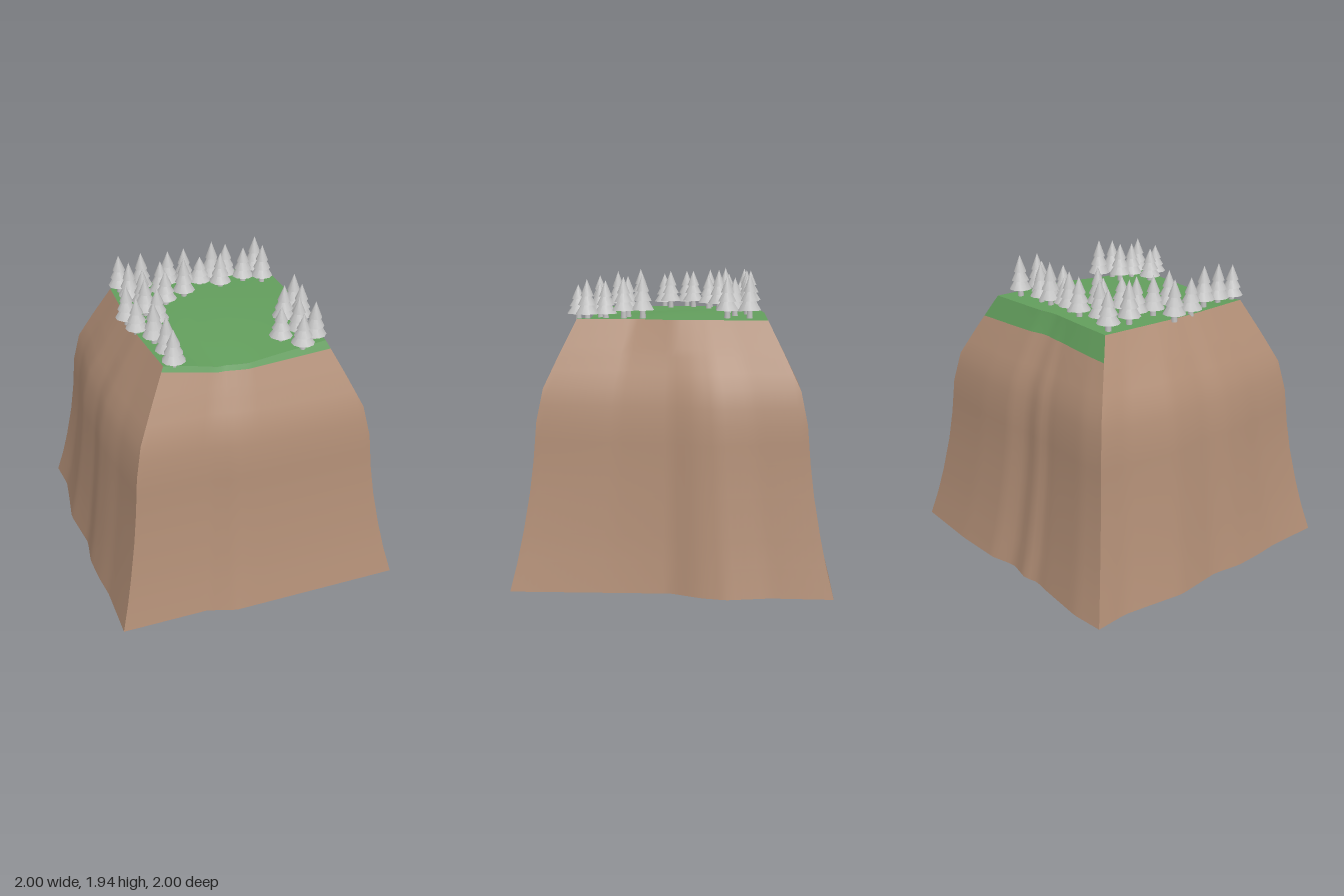
import * as THREE from 'three';

const mat = (name, color) => {
  const m = new THREE.MeshStandardMaterial({ color });
  m.name = name;
  return m;
};

// Piecewise linear lookup in a list of [position, value], ascending
function at(list, p) {
  if (p <= list[0][0]) return list[0][1];
  for (let i = 1; i < list.length; i++) {
    const [a, va] = list[i - 1], [b, vb] = list[i];
    if (p <= b) return va + (vb - va) * (p - a) / (b - a);
  }
  return list[list.length - 1][1];
}

// Smooth surface over fn(u, v); u runs right and v runs up as seen from outside
function grid(fn, nu, nv) {
  const pos = [], index = [];
  for (let j = 0; j <= nv; j++)
    for (let i = 0; i <= nu; i++) pos.push(...fn(i / nu, j / nv, j).toArray());
  for (let j = 0; j < nv; j++)
    for (let i = 0; i < nu; i++) {
      const a = j * (nu + 1) + i, b = a + 1, c = a + nu + 1, d = c + 1;
      index.push(a, b, d, a, d, c);
    }
  const g = new THREE.BufferGeometry();
  g.setAttribute('position', new THREE.Float32BufferAttribute(pos, 3));
  g.setIndex(index);
  g.computeVertexNormals();
  return g;
}

// How far the cliff has moved from the base outline to the rim, by height
const PROFILE = [[0, 0], [0.18, 0.11], [0.36, 0.2], [0.6, 0.3], [0.8, 0.36], [1.04, 0.41],
  [1.24, 0.51], [1.43, 0.73], [1.57, 0.9], [1.65, 1]];
const LEVELS = [0, 0.18, 0.36, 0.6, 0.8, 0.92, 1.04, 1.14, 1.24, 1.34, 1.43, 1.48];

// Each side: base and rim outlines as [along, across], bulge, rim and soil heights by u
const SIDES = {
  front: {
    axis: 'x', flip: false, bulge: 0,
    base: [[-0.96, 0.94], [-0.4, 0.94], [-0.22, 1], [0.9, 1]],
    rim: [[-0.54, 0.58], [-0.15, 0.58], [-0.03, 0.62], [0.5, 0.61]],
    top: [[0, 1.65], [0.15, 1.63], [0.33, 1.595], [0.5, 1.605], [0.7, 1.625], [1, 1.65]],
    soil: [[0, 1.62], [0.15, 1.595], [0.33, 1.565], [0.62, 1.58], [1, 1.6]],
  },
  right: {
    axis: 'z', flip: true, bulge: 0.03,
    base: [[-0.98, 0.97], [-0.6, 0.96], [-0.33, 1], [-0.17, 0.97], [0, 0.9], [1, 0.9]],
    rim: [[-0.58, 0.57], [0, 0.57], [0.25, 0.5], [0.61, 0.5]],
    top: [[0, 1.65], [1, 1.65]],
  },
  back: {
    axis: 'x', flip: true, bulge: 0,
    base: [[-0.96, -0.97], [-0.75, -0.99], [-0.4, -0.96], [-0.3, -0.945], [-0.2, -0.975],
      [-0.03, -0.94], [0.15, -0.99], [0.5, -1], [0.97, -0.98]],
    rim: [[-0.55, -0.575], [-0.3, -0.57], [-0.05, -0.56], [0.1, -0.58], [0.57, -0.58]],
    top: [[0, 1.65], [0.5, 1.66], [1, 1.65]],
    soil: [[0, 1.51], [0.5, 1.53], [1, 1.51]],
  },
  left: {
    axis: 'z', flip: false, bulge: -0.04,
    base: [[-0.97, -0.96], [-0.75, -0.94], [-0.6, -0.96], [-0.33, -1], [0, -0.96],
      [0.2, -0.99], [0.4, -0.98], [0.57, -0.96], [0.94, -0.96]],
    rim: [[-0.575, -0.55], [-0.05, -0.57], [0.15, -0.57], [0.58, -0.54]],
    top: [[0, 1.65], [1, 1.65]],
  },
};

// Point on a side at u and height y
function sidePoint(s, u, y) {
  const k = s.flip ? 1 - u : u;
  const along = l => l[0][0] + (l[l.length - 1][0] - l[0][0]) * k;
  const a0 = along(s.base), a1 = along(s.rim), f = at(PROFILE, y);
  const a = a0 + (a1 - a0) * f;
  const d0 = at(s.base, a0), d1 = at(s.rim, a1);
  const wave = Math.sin(Math.PI * u) * Math.sin(Math.PI * Math.min(y / 1.65, 1));
  const d = d0 + (d1 - d0) * f + s.bulge * wave;
  return s.axis === 'x' ? new THREE.Vector3(a, y, d) : new THREE.Vector3(d, y, a);
}
const rimPoint = (s, u) => sidePoint(s, u, at(s.top, u));

// Plateau blended between the four rims; v runs from front to back
function plateauPoint(u, v) {
  const { front, right, back, left } = SIDES;
  const p = new THREE.Vector3();
  const add = (q, w) => p.addScaledVector(q, w);
  add(rimPoint(front, u), 1 - v);
  add(rimPoint(back, 1 - u), v);
  add(rimPoint(left, 1 - v), 1 - u);
  add(rimPoint(right, v), u);
  add(rimPoint(front, 0), -(1 - u) * (1 - v));
  add(rimPoint(front, 1), -u * (1 - v));
  add(rimPoint(back, 1), -(1 - u) * v);
  add(rimPoint(back, 0), -u * v);
  p.y += 0.025 * Math.sin(Math.PI * u) * Math.sin(Math.PI * v);
  return p;
}

// Tree positions and heights: x, z, height
const TREES = [
  [-0.5, -0.51, 0.25], [-0.36, -0.46, 0.27], [-0.17, -0.47, 0.25], [-0.06, -0.46, 0.26],
  [0.04, -0.42, 0.2], [0.14, -0.46, 0.28], [0.24, -0.46, 0.25], [0.34, -0.38, 0.24],
  [0.46, -0.47, 0.27], [0.46, -0.33, 0.26], [0.16, -0.34, 0.24], [-0.48, -0.33, 0.27],
  [-0.26, -0.35, 0.24], [-0.12, -0.28, 0.27], [-0.42, -0.22, 0.26], [-0.27, -0.21, 0.23],
  [-0.44, -0.1, 0.25], [-0.58, -0.05, 0.26], [-0.56, 0.11, 0.24], [-0.41, 0.06, 0.25],
  [-0.5, 0.28, 0.26], [-0.47, 0.44, 0.27], [-0.47, 0.57, 0.24], [0.46, 0.2, 0.27],
  [0.35, 0.3, 0.25], [0.46, 0.32, 0.25], [0.39, 0.44, 0.25], [0.25, 0.49, 0.23],
  [0.45, 0.55, 0.26], [0.34, 0.62, 0.22],
];

export function createModel() {
  const model = new THREE.Group();
  model.name = 'woodedPlateau';
  const soil = mat('soil brown', 0xb08d75);
  const grass = mat('grass green', 0x629d5c);
  const stone = mat('tree grey', 0xc2c2c2);
  const add = (parent, name, geometry, material) => {
    const m = new THREE.Mesh(geometry, material);
    m.name = name;
    parent.add(m);
    return m;
  };

  // Cliff walls, with a grass lip at the front and back
  for (const [name, s] of Object.entries(SIDES)) {
    const edge = u => at(s.soil || s.top, u);
    const n = LEVELS.length;
    add(model, name + 'Cliff',
      grid((u, v, j) => sidePoint(s, u, j < n ? LEVELS[j] : edge(u)), 40, n), soil);
    if (s.soil) add(model, name + 'GrassLip',
      grid((u, v) => sidePoint(s, u, edge(u) + (at(s.top, u) - edge(u)) * v), 40, 2), grass);
  }
  add(model, 'plateauGrass', grid(plateauPoint, 24, 24), grass);

  // Underside
  const outline = [];
  for (const s of Object.values(SIDES))
    for (let i = 0; i < 40; i++) {
      const p = sidePoint(s, i / 40, 0);
      outline.push(new THREE.Vector2(p.x, p.z));
    }
  add(model, 'underside',
    new THREE.ShapeGeometry(new THREE.Shape(outline)).rotateX(Math.PI / 2), soil);

  // Conifers: a trunk and three tiers, unit size about 0.28 tall
  const trunk = new THREE.CylinderGeometry(0.016, 0.02, 0.08, 8).translate(0, 0.03, 0);
  const tiers = [[0.074, 0.13, 0.045], [0.058, 0.12, 0.105], [0.042, 0.115, 0.165]].map(
    ([r, h, y]) => new THREE.ConeGeometry(r, h, 10).translate(0, y + h / 2, 0));
  TREES.forEach(([x, z, h], i) => {
    const tree = new THREE.Group();
    tree.name = 'tree' + (i + 1);
    add(tree, 'trunk', trunk, stone);
    tiers.forEach((g, k) => add(tree, 'foliageTier' + (k + 1), g, stone));
    const ground = z > 0.4 ? 1.635 : Math.abs(x) > 0.5 ? 1.645 : 1.66;
    tree.position.set(x, ground, z);
    tree.scale.set(1, h / 0.28, 1);
    tree.rotation.y = i * 1.3;
    model.add(tree);
  });
  return model;
}
